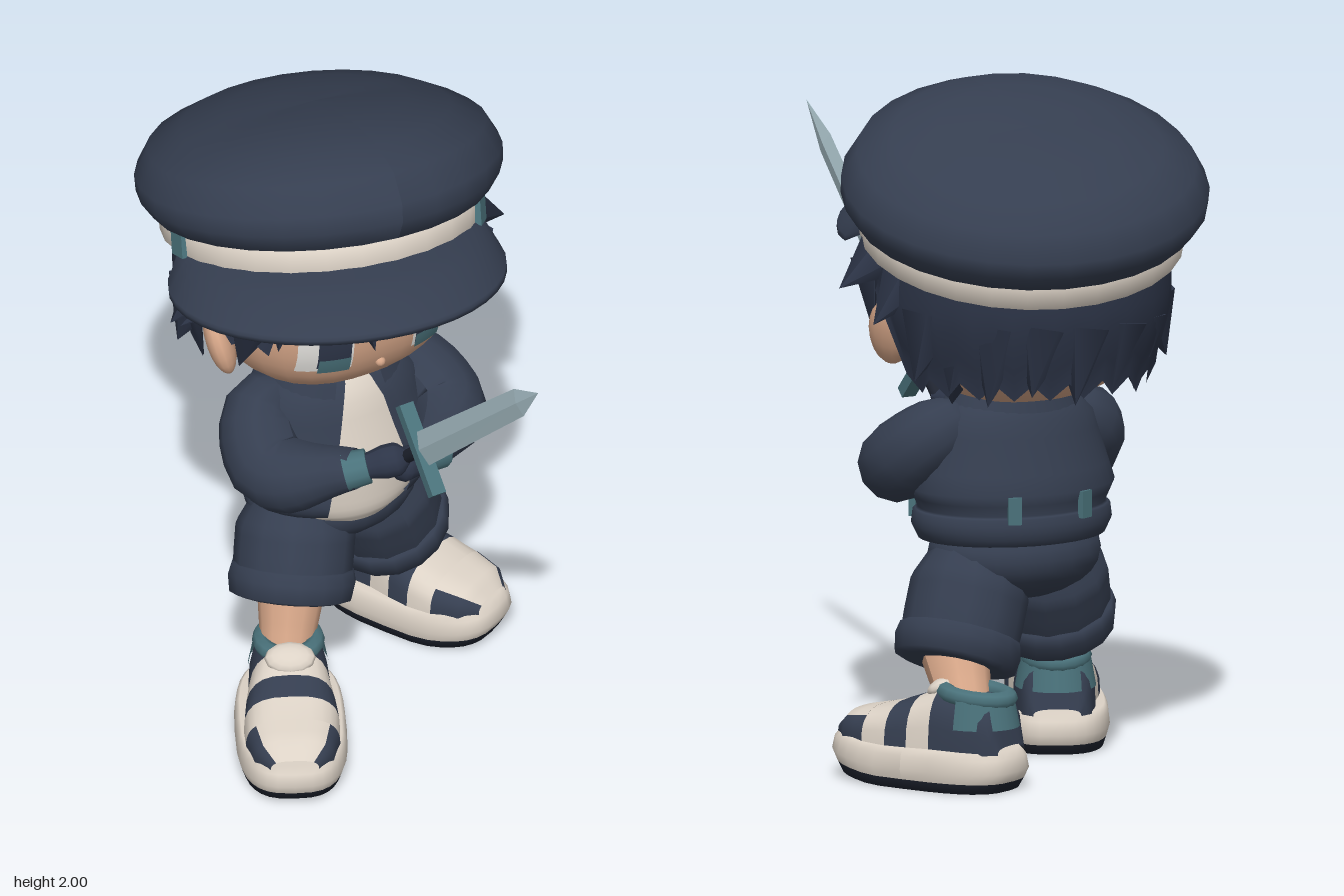
import * as THREE from 'three';

const mat = (name, color) => new THREE.MeshStandardMaterial({ name, color, side: THREE.DoubleSide });
const M = {
  navy: mat('navy cloth', 0x353e50), hair: mat('dark blue hair', 0x2d3548), cream: mat('cream', 0xdcd2c6),
  skin: mat('skin', 0xd6a688), teal: mat('teal', 0x4a727b), dark: mat('near black', 0x1f2430),
  steel: mat('pale steel', 0xa9c0c8), white: mat('eye white', 0xe6e4e0),
};
const V = (x, y, z) => new THREE.Vector3(x, y, z);
const rad = THREE.MathUtils.degToRad;
const spow = (v, e) => Math.sign(v) * Math.abs(v) ** e;

function add(parent, name, geo, material, x = 0, y = 0, z = 0) {
  const m = new THREE.Mesh(geo, material);
  m.name = name;
  m.position.set(x, y, z);
  parent.add(m);
  return m;
}
// Surface from a rule f(u, v) -> [x, y, z]
function grid(nu, nv, f) {
  const p = [], idx = [], w = nv + 1;
  for (let i = 0; i <= nu; i++) for (let j = 0; j <= nv; j++) p.push(...f(i / nu, j / nv));
  for (let i = 0; i < nu; i++) for (let j = 0; j < nv; j++) {
    const a = i * w + j;
    idx.push(a, a + w, a + 1, a + 1, a + w, a + w + 1);
  }
  const g = new THREE.BufferGeometry();
  g.setAttribute('position', new THREE.Float32BufferAttribute(p, 3));
  g.setIndex(idx);
  g.computeVertexNormals();
  return g;
}
// Linear lookup along rows of numbers, t in 0..1
function sample(rows, t) {
  const k = Math.min(t * (rows.length - 1), rows.length - 1.0001), i = Math.floor(k);
  return rows[i].map((a, n) => a + (rows[i + 1][n] - a) * (k - i));
}
// Tube with a changing radius
function limb(pts, radii, seg = 14, sides = 12) {
  const curve = new THREE.CatmullRomCurve3(pts.map(p => V(...p)));
  const g = new THREE.TubeGeometry(curve, seg, 1, sides), pos = g.attributes.position, v = V(0, 0, 0);
  for (let i = 0; i < pos.count; i++) {
    const t = Math.floor(i / (sides + 1)) / seg, c = curve.getPointAt(t);
    v.fromBufferAttribute(pos, i).sub(c).multiplyScalar(sample(radii.map(r => [r]), t)[0]).add(c);
    pos.setXYZ(i, v.x, v.y, v.z);
  }
  g.computeVertexNormals();
  return g;
}
// Pointed lock of hair
function spike(parent, base, tip, r) {
  const a = V(...base), d = V(...tip).sub(a), g = new THREE.ConeGeometry(r, d.length(), 6);
  g.translate(0, d.length() / 2, 0);
  add(parent, 'hairLock', g, M.hair, ...base).quaternion.setFromUnitVectors(V(0, 1, 0), d.normalize());
}

// Head: a slightly squared ball
const H = { x: 0.385, y: 0.335, z: 0.36, cy: 1.43, cz: -0.36, p: 2.4 };
const faceZ = (x, y) => H.cz + H.z * Math.max(0, 1 - Math.abs(x / H.x) ** H.p - Math.abs((y - H.cy) / H.y) ** H.p) ** (1 / H.p);
function facePatch(parent, name, material, s, x0, x1, y0, y1, lift, slant = 0) {
  const g = new THREE.PlaneGeometry(x1 - x0, y1 - y0, 5, 5), pos = g.attributes.position;
  for (let i = 0; i < pos.count; i++) {
    const x = s * (x0 + x1) / 2 + pos.getX(i);
    const y = (y0 + y1) / 2 + pos.getY(i) + slant * (Math.abs(x) - x0);
    pos.setXYZ(i, x, y, faceZ(x, y) + lift);
  }
  g.computeVertexNormals();
  add(parent, name, g, material);
}
function makeHead() {
  const head = new THREE.Group();
  head.name = 'head';
  const g = new THREE.SphereGeometry(1, 32, 24), pos = g.attributes.position;
  for (let i = 0; i < pos.count; i++) {
    const c = [pos.getX(i), pos.getY(i), pos.getZ(i)];
    const n = c.reduce((s, a) => s + Math.abs(a) ** H.p, 0) ** (1 / H.p);
    pos.setXYZ(i, c[0] / n * H.x, c[1] / n * H.y, c[2] / n * H.z);
  }
  g.computeVertexNormals();
  add(head, 'face', g, M.skin, 0, H.cy, H.cz);
  add(head, 'neck', new THREE.CylinderGeometry(0.09, 0.1, 0.16, 14), M.skin, 0, 1.1, -0.32);
  add(head, 'nose', new THREE.SphereGeometry(0.016, 10, 8), M.skin, 0, 1.265, faceZ(0, 1.265));
  for (const s of [-1, 1]) {
    facePatch(head, 'eyeWhite', M.white, s, 0.1, 0.255, 1.285, 1.435, 0.004);
    facePatch(head, 'iris', M.hair, s, 0.108, 0.203, 1.3, 1.435, 0.007);
    facePatch(head, 'irisGlow', M.teal, s, 0.108, 0.2, 1.28, 1.335, 0.009);
    facePatch(head, 'upperLash', M.hair, s, 0.1, 0.2, 1.425, 1.443, 0.01, 0.15);
    facePatch(head, 'outerLash', M.hair, s, 0.2, 0.275, 1.44, 1.458, 0.01, -0.4);
    facePatch(head, 'eyebrow', M.hair, s, 0.08, 0.22, 1.49, 1.512, 0.007, 0.12);
    const ear = add(head, 'ear', new THREE.SphereGeometry(1, 14, 10), M.skin, s * 0.39, 1.315, -0.285);
    ear.scale.set(0.04, 0.105, 0.07);
    ear.rotation.set(-0.2, s * 0.5, -s * 0.2);
  }
  return head;
}

function makeHair() {
  const hair = new THREE.Group();
  hair.name = 'hair';
  // Shell around the head with a ragged lower edge
  const n = 44;
  add(hair, 'hairShell', grid(n, 8, (u, v) => {
    const phi = u * 2 * Math.PI, a = Math.abs(u < 0.5 ? u : 1 - u) * 2, zig = Math.round(u * n) % 2 ? 0.025 : -0.025;
    const low = (a < 0.26 ? 1.55 : a < 0.4 ? 1.38 : a < 0.48 ? 1.41 : 1.18) + zig;
    const top = 1.59 + 0.1 * Math.cos(phi), y = top + (low - top) * v;
    const s = 1 - 0.18 * Math.max(0, (1.42 - y) / 0.27) ** 1.5 + (v === 1 ? 0.02 : 0);
    return [0.435 * s * Math.sin(phi), y, -0.38 + 0.42 * s * Math.cos(phi)];
  }), M.hair);
  // Fringe
  for (const [x, tx, ty, r] of [[-0.28, -0.31, 1.38, 0.09], [-0.19, -0.25, 1.47, 0.08], [-0.09, -0.05, 1.36, 0.09],
    [0.03, 0.07, 1.5, 0.07], [0.13, 0.17, 1.5, 0.08], [0.22, 0.28, 1.46, 0.08], [0.29, 0.33, 1.36, 0.08]])
    spike(hair, [x, 1.63, faceZ(x, 1.5)], [tx, ty, faceZ(tx, ty) + 0.035], r);
  // Side tufts, sideburns and nape locks
  for (const s of [-1, 1]) {
    spike(hair, [s * 0.36, 1.56, -0.24], [s * 0.54, 1.45, -0.25], 0.1);
    spike(hair, [s * 0.36, 1.5, -0.36], [s * 0.5, 1.36, -0.38], 0.1);
    spike(hair, [s * 0.35, 1.5, -0.15], [s * 0.385, 1.29, -0.18], 0.09);
    spike(hair, [s * 0.35, 1.38, -0.47], [s * 0.42, 1.2, -0.48], 0.1);
    spike(hair, [s * 0.27, 1.26, -0.46], [s * 0.26, 1.11, -0.42], 0.09);
  }
  for (let i = -3; i <= 3; i++) {
    const a = i * 0.38;
    spike(hair, [0.32 * Math.sin(a), 1.36, -0.4 - 0.32 * Math.cos(a)], [0.36 * Math.sin(a + 0.1), 1.14 + 0.03 * (i & 1), -0.4 - 0.35 * Math.cos(a)], 0.1);
  }
  return hair;
}

function makeCap() {
  const cap = new THREE.Group();
  cap.name = 'cap';
  cap.position.set(0, 1.605, -0.375);
  cap.rotation.set(rad(-16), 0, rad(-5));
  const lathe = pts => new THREE.LatheGeometry(pts.map(p => new THREE.Vector2(...p)), 28);
  const crown = lathe([[0.45, 0.028], [0.505, 0.04], [0.54, 0.09], [0.542, 0.14], [0.5, 0.215], [0.4, 0.27], [0.27, 0.305], [0.13, 0.32], [0, 0.325]]);
  const pos = crown.attributes.position;
  for (let i = 0; i < pos.count; i++) pos.setY(i, pos.getY(i) * (1 + 0.3 * Math.max(0, pos.getZ(i))));
  crown.computeVertexNormals();
  add(cap, 'capCrown', crown, M.navy).scale.z = 0.95;
  add(cap, 'capBand', lathe([[0.455, -0.035], [0.475, -0.035], [0.478, 0.035], [0.45, 0.04]]), M.cream).scale.z = 0.97;
  add(cap, 'capLining', lathe([[0, -0.02], [0.46, -0.033]]), M.navy).scale.z = 0.97;
  // Drooping peak, turned a little to one side
  const loop = [[0, -0.025], [0.5, -0.07], [1, -0.155], [1, -0.18], [0.5, -0.12], [0, -0.055]];
  add(cap, 'capPeak', grid(24, 10, (u, v) => {
    const t = u * 2 - 1, c = Math.max(0, Math.cos(t * Math.PI / 2)), phi = rad(-19 + 77 * t);
    const [k, y] = sample(loop, v), r = 0.45 + 0.225 * k * c ** 0.6;
    return [r * Math.sin(phi), y * (0.35 + 0.65 * c ** 0.3), r * Math.cos(phi)];
  }), M.navy);
  for (const deg of [48, -88]) {
    const a = rad(deg);
    add(cap, 'capBuckle', new THREE.BoxGeometry(0.06, 0.08, 0.025), M.teal, 0.475 * Math.sin(a), 0, 0.465 * Math.cos(a)).rotation.y = a;
  }
  return cap;
}

function makeTorso() {
  const torso = new THREE.Group();
  torso.name = 'torso';
  const rows = [[0.7, 0.25, 0.2], [0.69, 0.285, 0.23], [0.73, 0.305, 0.245], [0.77, 0.3, 0.24], [0.78, 0.285, 0.23], [0.84, 0.315, 0.245],
    [0.95, 0.28, 0.215], [1.05, 0.25, 0.19], [1.11, 0.18, 0.155], [1.14, 0.1, 0.11]];
  // Elliptical wall centred on one heading, half(y) wide to each side
  const shell = (lines, heading, half, inset) => grid(32, (lines.length - 1) * 2, (u, v) => {
    const [y, rx, rz] = sample(lines, v), a = heading + (u * 2 - 1) * half(y);
    return [(rx - inset) * Math.sin(a), y, -0.31 + (rz - inset) * Math.cos(a)];
  });
  add(torso, 'shirt', shell([[0.64, 0.2, 0.215], [0.68, 0.26, 0.24], [0.73, 0.285, 0.245], ...rows.slice(5)], 0, () => 0.9, 0.015), M.cream);
  add(torso, 'jacket', shell(rows, Math.PI, y => Math.PI - 0.22 - 0.25 * (1.14 - y) / 0.44, 0), M.navy);
  add(torso, 'collar', shell([[1.06, 0.22, 0.18], [1.15, 0.17, 0.16], [1.17, 0.14, 0.14], [1.12, 0.11, 0.12]], Math.PI, () => 2.74, 0), M.navy);
  // Small strap tabs at the hem
  for (const [a, y] of [[0.95, 0.78], [-0.95, 0.78], [2.75, 0.8], [-2.75, 0.8]])
    add(torso, 'hemTab', new THREE.BoxGeometry(0.04, 0.08, 0.02), M.teal, 0.305 * Math.sin(a), y, -0.31 + 0.245 * Math.cos(a)).rotation.y = a;
  return torso;
}

function makeArm(s, elbow, wrist, hand) {
  const arm = new THREE.Group();
  arm.name = s > 0 ? 'leftArm' : 'rightArm';
  add(arm, 'sleeve', limb([[s * 0.13, 1.06, -0.31], [s * 0.25, 1.0, -0.3], elbow, wrist], [0.03, 0.1, 0.115, 0.12, 0.11, 0.08, 0.06]), M.navy);
  const d = V(...hand).sub(V(...wrist)).normalize();
  const cuff = add(arm, 'cuff', new THREE.CylinderGeometry(0.052, 0.058, 0.07, 12), M.teal, ...wrist);
  cuff.quaternion.setFromUnitVectors(V(0, 1, 0), d);
  add(arm, 'glove', limb([wrist, hand], [0.035, 0.04, 0.05, 0.05, 0.005]), M.hair);
  return arm;
}

function makeLeg(s, hip, knee, ankle) {
  const leg = new THREE.Group();
  leg.name = s > 0 ? 'leftLeg' : 'rightLeg';
  add(leg, 'shorts', limb([hip, hip.map((h, i) => (h + knee[i]) / 2), knee], [0.13, 0.175, 0.175, 0.17]), M.navy);
  const d = V(...hip).sub(V(...knee)).normalize();
  const cuff = add(leg, 'shortsCuff', new THREE.LatheGeometry([[0, -0.02], [0.15, -0.03], [0.18, -0.02], [0.188, 0.03], [0.18, 0.065], [0.15, 0.07]]
    .map(p => new THREE.Vector2(...p)), 16), M.navy, ...knee);
  cuff.quaternion.setFromUnitVectors(V(0, 1, 0), d);
  add(leg, 'shin', limb([knee, ankle], [0.1, 0.085, 0.075]), M.skin);
  return leg;
}

function makeShoe(s, x, z) {
  const shoe = new THREE.Group();
  shoe.name = s > 0 ? 'leftShoe' : 'rightShoe';
  shoe.position.set(x, 0, z);
  shoe.rotation.y = s * rad(27);
  const slab = rows => grid(32, rows.length - 1, (u, v) => {
    const [y, k] = sample(rows, v), a = u * 2 * Math.PI, pz = 0.295 * k * spow(Math.sin(a), 0.7);
    return [0.158 * k * spow(Math.cos(a), 0.7), y + 0.14 * Math.max(0, pz - 0.12), pz];
  });
  add(shoe, 'tread', slab([[0, 0], [0, 0.92], [0.03, 0.98]]), M.dark);
  add(shoe, 'midsole', slab([[0.03, 0.98], [0.06, 1.03], [0.1, 1], [0.12, 0.93], [0.12, 0]]), M.cream);
  // Upper: arched sections along z, cut into coloured panels [z, half width, height]
  const rows = [[0.275, 0.07, 0.03], [0.23, 0.115, 0.075], [0.15, 0.137, 0.1], [0.07, 0.14, 0.125], [0, 0.132, 0.15],
    [-0.07, 0.12, 0.18], [-0.17, 0.115, 0.165], [-0.25, 0.1, 0.15], [-0.28, 0.07, 0.02]];
  // name, colour, first and last section, start and end of the arch
  const panels = [['toeTop', M.cream, 0, 2, 0.25, 0.75], ['toeSide', M.navy, 0, 2, 0, 0.25], ['toeSide', M.navy, 0, 2, 0.75, 1],
    ['toeBand', M.cream, 2, 3, 0, 1], ['vamp', M.navy, 3, 4, 0, 1], ['strap', M.cream, 4, 5, 0, 1], ['quarter', M.navy, 5, 8, 0, 1]];
  for (const [name, m, a, b, t0, t1] of panels)
    add(shoe, name, grid((b - a) * 2, 12, (u, v) => {
      const [pz, w, h] = sample(rows.slice(a, b + 1), u), t = (t0 + (t1 - t0) * v) * Math.PI;
      return [w * spow(Math.cos(t), 0.7), 0.115 + 0.1 * Math.max(0, pz - 0.12) + h * Math.max(0, Math.sin(t)) ** 0.7, pz];
    }), m);
  const tongue = add(shoe, 'tongue', new THREE.SphereGeometry(1, 12, 8), M.cream, 0, 0.285, -0.055);
  tongue.scale.set(0.075, 0.03, 0.05);
  tongue.rotation.x = 0.5;
  const collar = add(shoe, 'ankleCollar', new THREE.TorusGeometry(0.08, 0.026, 8, 18), M.teal, 0, 0.275, -0.16);
  collar.rotation.x = Math.PI / 2 - 0.1;
  collar.scale.y = 1.2;
  add(shoe, 'heelCuff', new THREE.CylinderGeometry(0.1, 0.118, 0.1, 14, 1, true, Math.PI / 2, Math.PI), M.teal, 0, 0.235, -0.155).scale.z = 1.15;
  return shoe;
}

function makeSword() {
  const sword = new THREE.Group();
  sword.name = 'sword';
  sword.position.set(0, 1.1, 0.21);
  sword.rotation.x = rad(46);
  // Diamond-section blade
  const rows = [[0, 0.052, 0.014], [0.8, 0.042, 0.011], [0.955, 0.001, 0.001]];
  const blade = grid(2, 4, (u, v) => {
    const [y, w, t] = sample(rows, u), a = v * 2 * Math.PI;
    return [t * Math.sin(a), y, w * Math.cos(a)];
  }).toNonIndexed();
  blade.computeVertexNormals();
  add(sword, 'blade', blade, M.steel);
  add(sword, 'guard', new THREE.BoxGeometry(0.045, 0.035, 0.28), M.teal);
  add(sword, 'grip', new THREE.CylinderGeometry(0.02, 0.02, 0.29, 10), M.dark, 0, -0.15, 0);
  add(sword, 'pommel', new THREE.SphereGeometry(0.028, 10, 8), M.teal, 0, -0.3, 0);
  return sword;
}

export function createModel() {
  const model = new THREE.Group();
  model.name = 'swordBoy';
  model.add(makeHead(), makeHair(), makeCap(), makeTorso(), makeSword());
  model.add(makeArm(1, [0.3, 0.9, -0.17], [0.14, 0.91, 0.02], [-0.02, 0.93, 0.06]));
  model.add(makeArm(-1, [-0.285, 0.89, -0.16], [-0.13, 0.98, 0.06], [0.02, 1.02, 0.13]));
  add(model, 'shortsSeat', new THREE.SphereGeometry(1, 20, 14), M.navy, 0, 0.64, -0.325).scale.set(0.265, 0.14, 0.215);
  model.add(makeLeg(1, [0.12, 0.64, -0.32], [0.23, 0.36, -0.39], [0.265, 0.2, -0.52]));
  model.add(makeLeg(-1, [-0.12, 0.64, -0.3], [-0.2, 0.4, -0.2], [-0.265, 0.2, -0.12]));
  model.add(makeShoe(1, 0.32, -0.4), makeShoe(-1, -0.32, 0.01));
  return model;
}
